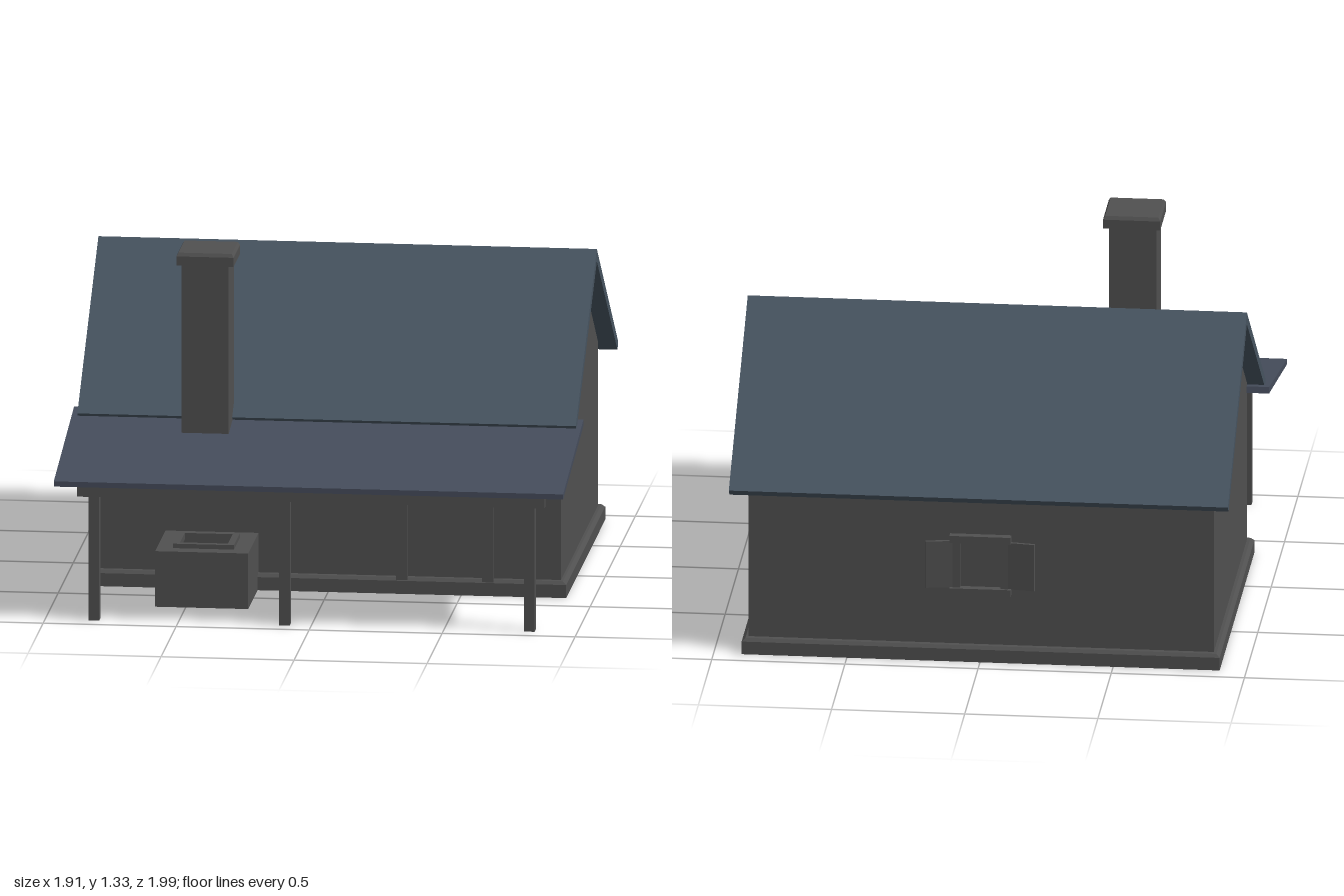
import * as THREE from 'three';

export function createModel() {
  const model = new THREE.Group();
  model.name = 'cottage';

  const mat = (name, color) => {
    const m = new THREE.MeshStandardMaterial({ color });
    m.name = name;
    return m;
  };
  const stone = mat('grey stone', 0x505050);
  const slate = mat('blue slate', 0x46535f);
  const porchSlate = mat('porch slate', 0x454c5b);

  const add = (name, geometry, material, parent = model) => {
    const mesh = new THREE.Mesh(geometry, material);
    mesh.name = name;
    parent.add(mesh);
    return mesh;
  };

  // box given by its limits on each axis
  const box = (name, [x0, x1], [y0, y1], [z0, z1], parent = model) => {
    const g = new THREE.BoxGeometry(x1 - x0, y1 - y0, z1 - z0);
    g.translate((x0 + x1) / 2, (y0 + y1) / 2, (z0 + z1) / 2);
    return add(name, g, stone, parent);
  };

  // side profile of [z, y] points, extruded along x
  const profile = (name, points, x0, x1, material) => {
    const shape = new THREE.Shape(points.map(([z, y]) => new THREE.Vector2(-z, y)));
    const g = new THREE.ExtrudeGeometry(shape, { depth: x1 - x0, bevelEnabled: false });
    g.rotateY(Math.PI / 2);
    g.translate(x0, 0, 0);
    return add(name, g, material);
  };

  // square block with a narrower top
  const taper = (name, w, d, topScale, y0, y1, x, z, parent) => {
    const g = new THREE.BoxGeometry(w, y1 - y0, d);
    const p = g.attributes.position;
    for (let i = 0; i < p.count; i++) {
      if (p.getY(i) > 0) p.setXYZ(i, p.getX(i) * topScale, p.getY(i), p.getZ(i) * topScale);
    }
    g.computeVertexNormals();
    g.translate(x, (y0 + y1) / 2, z);
    return add(name, g, stone, parent);
  };

  // house body and plinth
  profile('walls', [[0.34, 0], [0.34, 0.685], [-0.28, 1.143], [-0.90, 0.685], [-0.90, 0]], -0.875, 0.872, stone);
  box('plinth', [-0.9, 0.895], [0, 0.05], [-0.93, 0.37]);
  taper('plinthTop', 1.795, 1.3, 0.985, 0.05, 0.062, -0.0025, -0.28);

  // gabled roof
  profile('mainRoof', [
    [0.42, 0.672], [-0.28, 1.19], [-0.99, 0.67], [-0.965, 0.645], [-0.28, 1.143], [0.395, 0.65],
  ], -0.937, 0.937, slate);

  // lean-to porch
  profile('porchRoof', [[1.0, 0.545], [0.325, 0.676], [0.32, 0.652], [1.0, 0.525]], -0.96, 0.955, porchSlate);
  for (const x of [-0.817, -0.1, 0.82]) {
    const post = new THREE.Group();
    post.name = 'porchPost';
    model.add(post);
    box('postShaft', [x - 0.02, x + 0.02], [0, 0.53], [0.89, 0.935], post);
  }
  box('porchBeam', [-0.88, 0.877], [0.473, 0.515], [0.892, 0.932]);

  // front door frame
  for (const x of [0.277, 0.6]) box('doorJamb', [x - 0.021, x + 0.021], [0, 0.54], [0.33, 0.368]);
  box('doorLintel', [0.235, 0.645], [0.535, 0.58], [0.33, 0.372]);

  // open hearth with a raised rim round the fire pit
  const hearth = new THREE.Group();
  hearth.name = 'hearth';
  model.add(hearth);
  box('hearthBlock', [-0.615, -0.265], [0, 0.19], [0.33, 0.683], hearth);
  for (const [x, z] of [[[-0.615, -0.535], [0.33, 0.683]], [[-0.345, -0.265], [0.33, 0.683]],
    [[-0.535, -0.345], [0.33, 0.44]], [[-0.535, -0.345], [0.60, 0.683]]]) {
    box('hearthTop', x, [0.19, 0.213], z, hearth);
  }
  for (const [x, z] of [[[-0.555, -0.53], [0.42, 0.625]], [[-0.35, -0.325], [0.42, 0.625]],
    [[-0.53, -0.35], [0.42, 0.445]], [[-0.53, -0.35], [0.60, 0.625]]]) {
    box('pitRim', x, [0.205, 0.23], z, hearth);
  }

  // chimney with smoke hood and cap
  const chimney = new THREE.Group();
  chimney.name = 'chimney';
  model.add(chimney);
  box('hood', [-0.57, -0.32], [0.395, 0.52], [0.375, 0.572], chimney);
  taper('hoodShoulder', 0.25, 0.197, 0.82, 0.52, 0.555, -0.445, 0.4735, chimney);
  box('shaft', [-0.533, -0.355], [0.54, 1.285], [0.36, 0.535], chimney);
  box('cap', [-0.55, -0.335], [1.28, 1.315], [0.335, 0.552], chimney);
  taper('capTop', 0.215, 0.217, 0.93, 1.315, 1.328, -0.4425, 0.4435, chimney);

  // back window with frame and open shutters
  const win = new THREE.Group();
  win.name = 'backWindow';
  model.add(win);
  box('sill', [-0.115, 0.115], [0.262, 0.29], [-0.93, -0.89], win);
  box('lintel', [-0.115, 0.115], [0.47, 0.498], [-0.93, -0.89], win);
  for (const s of [-1, 1]) {
    const cx = s * 0.09;
    box('windowJamb', [cx - 0.014, cx + 0.014], [0.29, 0.47], [-0.92, -0.89], win);
    const sx = s * 0.155;
    const shutter = box('shutter', [-0.05, 0.05], [0.288, 0.472], [-0.006, 0.006], win);
    shutter.position.set(sx, 0, -0.915);
    shutter.rotation.y = s * 0.14;
  }

  return model;
}
